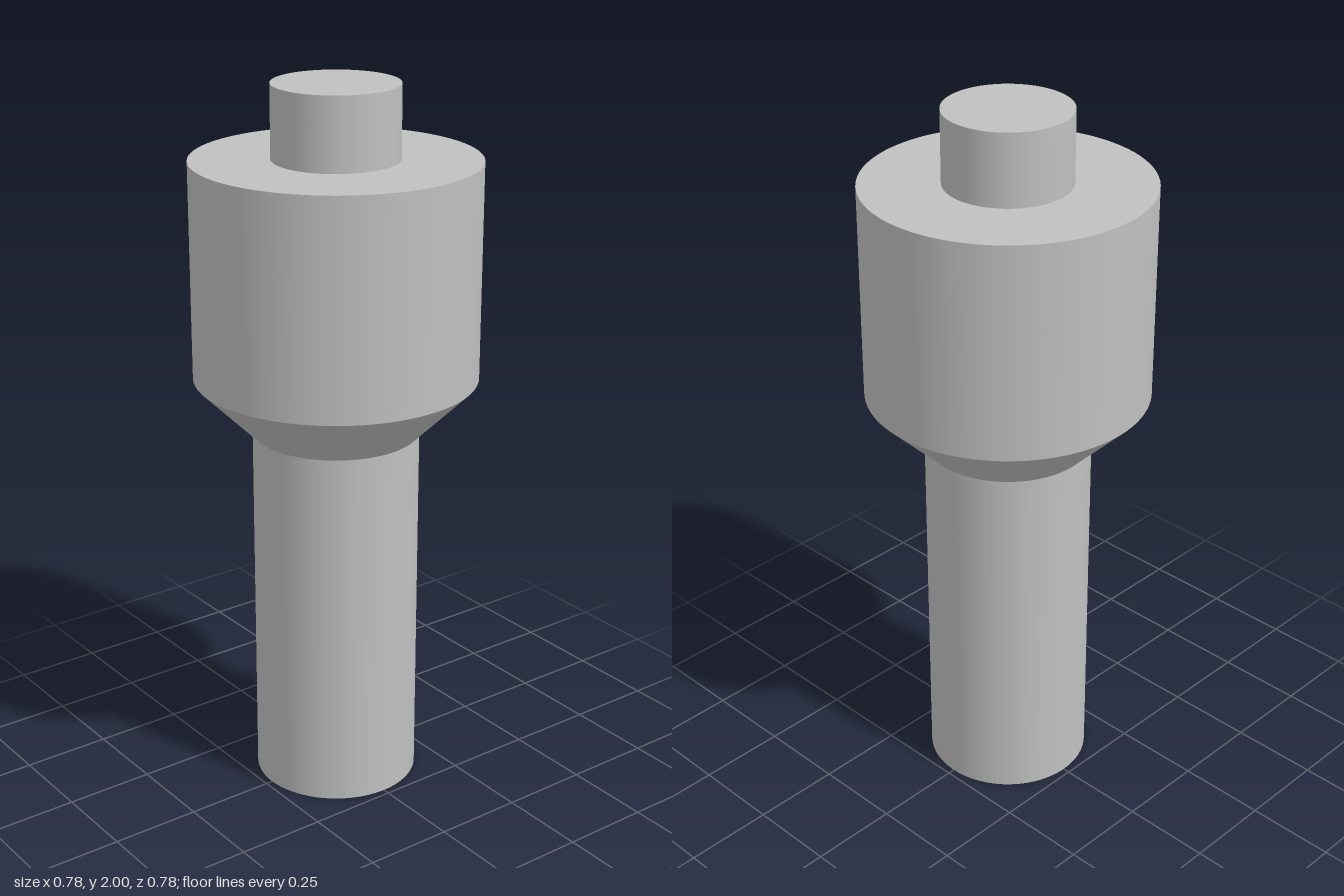
import * as THREE from 'three';

const SEGMENTS = 96;

export function createModel() {
  const group = new THREE.Group();
  const steel = new THREE.MeshStandardMaterial({ color: 0xc0c0c0 });
  steel.name = 'steel grey';

  const add = (name, geometry, y) => {
    const mesh = new THREE.Mesh(geometry, steel);
    mesh.name = name;
    mesh.position.y = y;
    group.add(mesh);
  };

  // Open wall between two heights, smooth around and sharp at its rims
  const wall = (name, y0, y1, r0, r1) =>
    add(name, new THREE.CylinderGeometry(r1, r0, y1 - y0, SEGMENTS, 1, true), (y0 + y1) / 2);

  const shaftR = 0.23, headR = 0.39, pinR = 0.172;

  // Shaft, tapered collar, head and top pin
  wall('shaft', 0, 1.04, shaftR, shaftR);
  wall('collar', 1.04, 1.2, shaftR, headR);
  wall('head', 1.2, 1.8, headR, headR);
  wall('pin', 1.8, 2, pinR, pinR);

  // Flat faces
  add('shaftBottom', new THREE.CircleGeometry(shaftR, SEGMENTS).rotateX(Math.PI / 2), 0);
  add('headShoulder', new THREE.RingGeometry(pinR, headR, SEGMENTS).rotateX(-Math.PI / 2), 1.8);
  add('pinTop', new THREE.CircleGeometry(pinR, SEGMENTS).rotateX(-Math.PI / 2), 2);

  return group;
}
